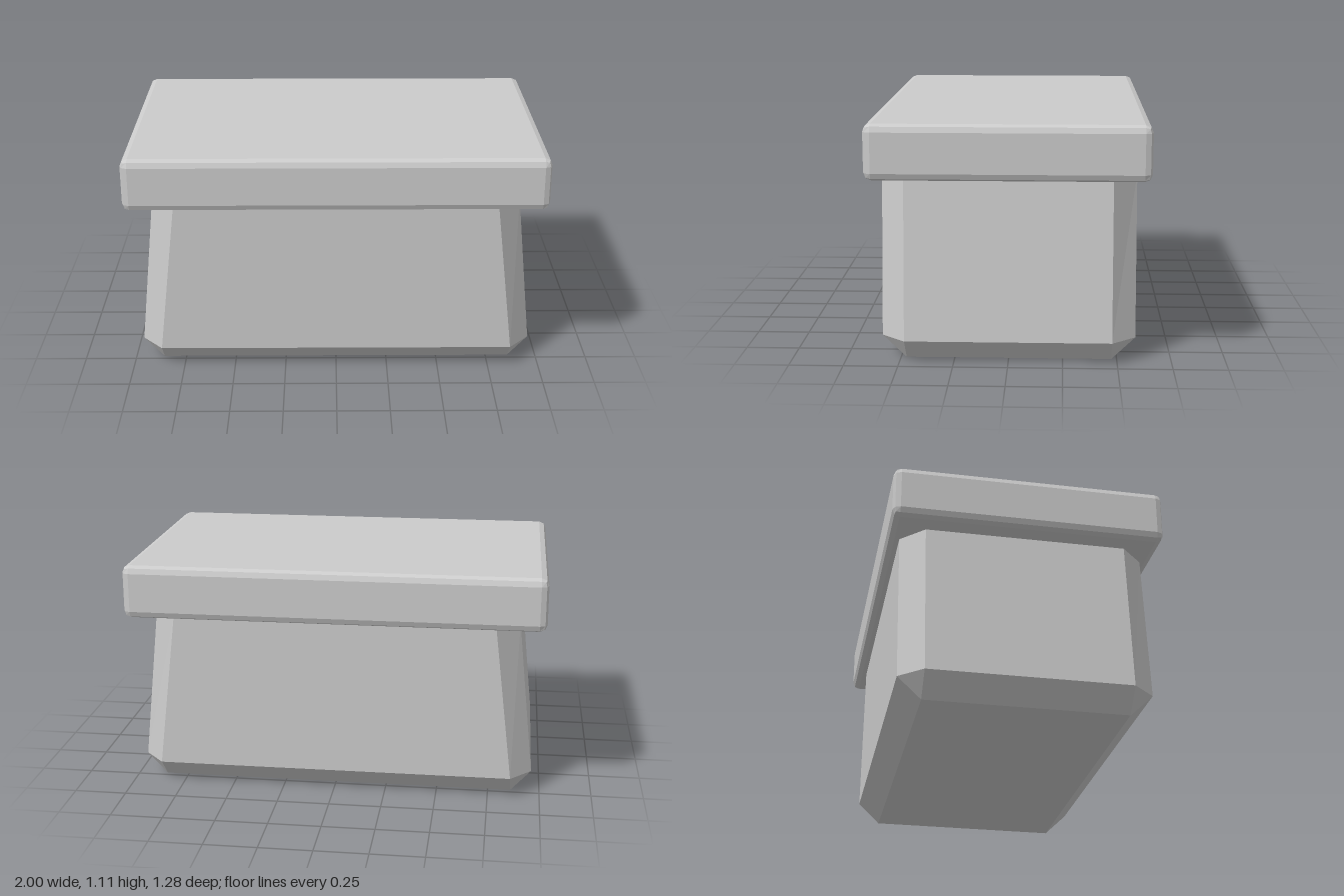
import * as THREE from 'three';
import { RoundedBoxGeometry } from 'three/addons/geometries/RoundedBoxGeometry.js';

// Horizontal octagon: a rectangle (x, z) with its corners cut back to (xIn, zIn)
function ring(y, x, z, xIn, zIn) {
  return [
    [x, zIn], [x, -zIn], [xIn, -z], [-xIn, -z],
    [-x, -zIn], [-x, zIn], [-xIn, z], [xIn, z],
  ].map(([px, pz]) => new THREE.Vector3(px, y, pz));
}

// Skin the rings from bottom to top and cap both ends
function loft(rings) {
  const points = [];
  const triangle = (a, b, c) => {
    const area = b.clone().sub(a).cross(c.clone().sub(a)).length();
    if (area > 1e-9) points.push(a, b, c);
  };
  for (let r = 0; r < rings.length - 1; r++) {
    const low = rings[r], high = rings[r + 1];
    for (let i = 0; i < low.length; i++) {
      const j = (i + 1) % low.length;
      triangle(low[i], low[j], high[j]);
      triangle(low[i], high[j], high[i]);
    }
  }
  const bottom = rings[0], top = rings[rings.length - 1];
  for (let i = 1; i < bottom.length - 1; i++) {
    triangle(bottom[0], bottom[i + 1], bottom[i]);
    triangle(top[0], top[i], top[i + 1]);
  }
  const geometry = new THREE.BufferGeometry().setFromPoints(points);
  geometry.computeVertexNormals();
  return geometry;
}

export function createModel() {
  const group = new THREE.Group();
  const material = new THREE.MeshStandardMaterial({ color: 0xcccccc, flatShading: true });

  // Tapered body with chamfered corners and a chamfered foot
  const body = new THREE.Mesh(loft([
    ring(0, 0.86, 0.475, 0.86, 0.475),
    ring(0.105, 0.957, 0.585, 0.857, 0.475),
    ring(0.857, 0.878, 0.585, 0.767, 0.475),
  ]), material);
  body.name = 'body';
  group.add(body);

  // Overhanging lid slab with a two-step bevel
  const lid = new THREE.Mesh(new RoundedBoxGeometry(2, 0.255, 1.285, 1, 0.035), material);
  lid.name = 'lid';
  lid.position.y = 0.9825;
  group.add(lid);

  return group;
}
